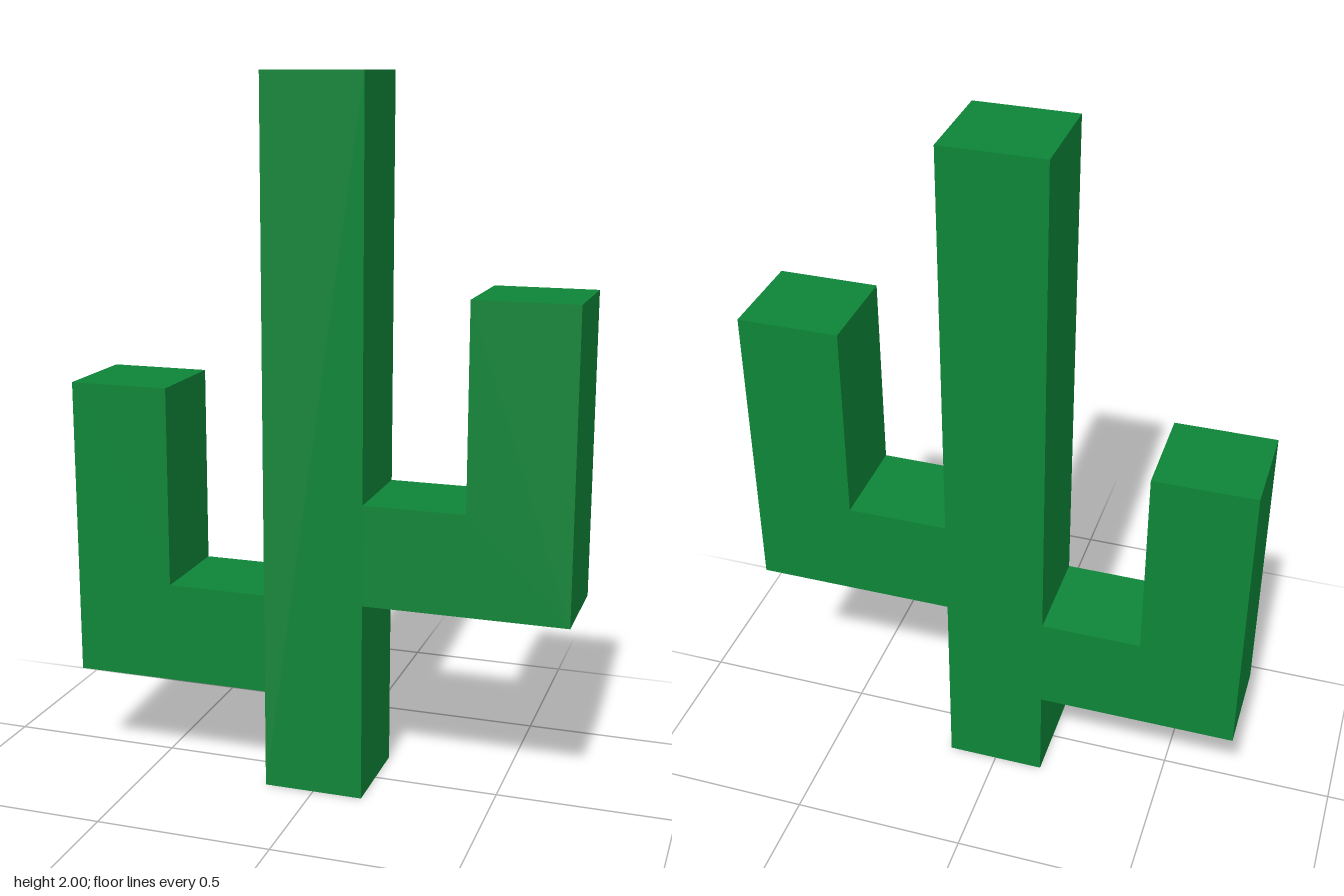
import * as THREE from 'three';

const U = 2 / 7; // square section of trunk and arms

export function createModel() {
  const green = new THREE.MeshStandardMaterial({ color: 0x0e8538 });
  green.name = 'cactus green';
  const cactus = new THREE.Group();
  cactus.name = 'cactus';

  // Trunk: seven units tall
  const trunk = new THREE.Mesh(new THREE.BoxGeometry(U, 7 * U, U), green);
  trunk.name = 'trunk';
  trunk.position.y = 3.5 * U;
  cactus.add(trunk);

  // L-shaped arm, reaching sideways from the trunk and then straight up
  function addArm(name, side, bottom, height) {
    const outline = [[0.5, 0], [2.5, 0], [2.5, height], [1.5, height], [1.5, 1], [0.5, 1]];
    const shape = new THREE.Shape(
      outline.map(([x, y]) => new THREE.Vector2(side * x * U, (bottom + y) * U))
    );
    const geometry = new THREE.ExtrudeGeometry(shape, { depth: U, bevelEnabled: false });
    geometry.translate(0, 0, -U / 2);
    const arm = new THREE.Mesh(geometry, green);
    arm.name = name;
    cactus.add(arm);
  }
  addArm('leftArm', 1, 2, 3);
  addArm('rightArm', -1, 1, 3);

  return cactus;
}
